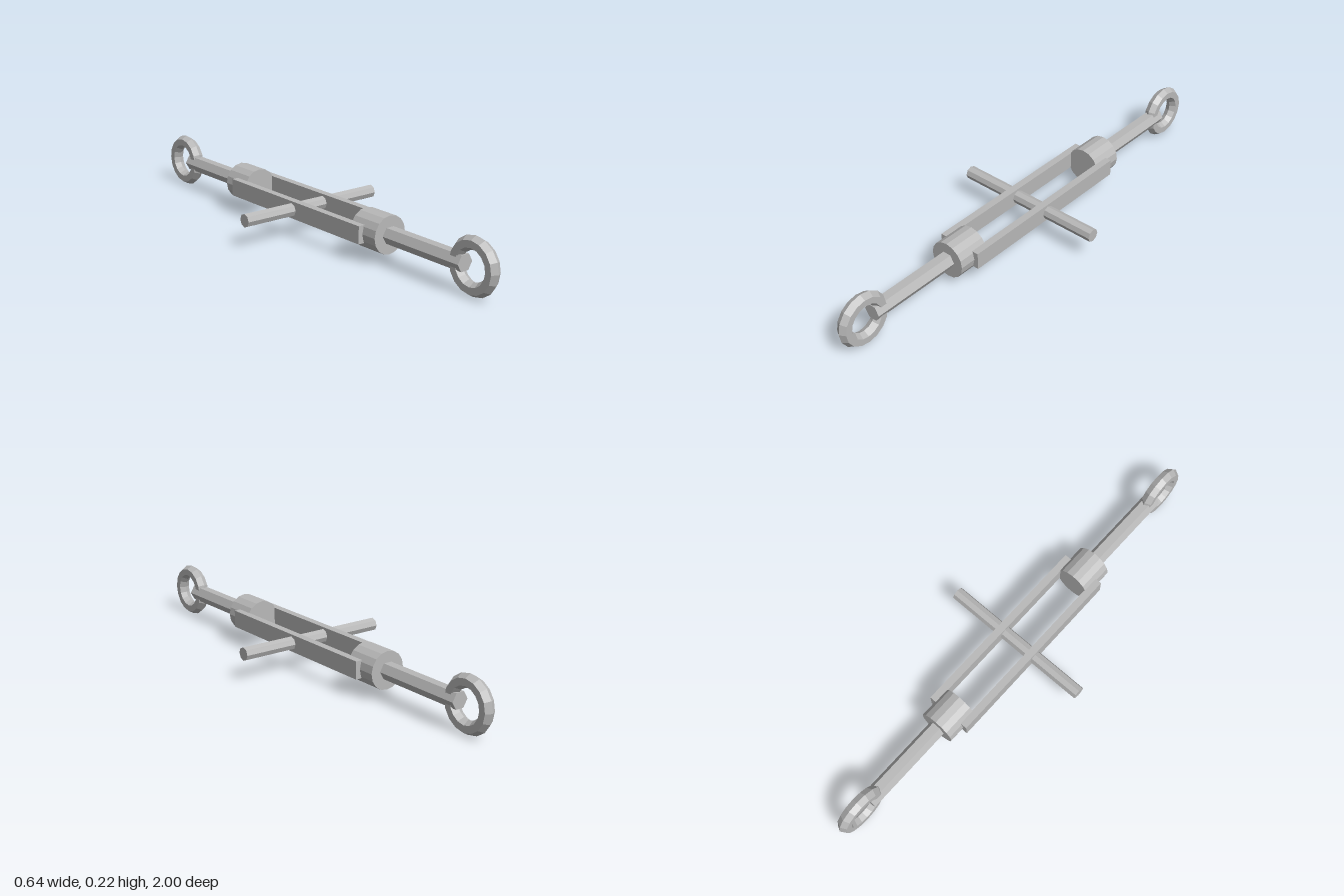
import * as THREE from 'three';

const AXIS_Y = 0.111;

export function createModel() {
  const model = new THREE.Group();
  model.name = 'turnbuckle';
  const steel = new THREE.MeshStandardMaterial({ color: 0xb8b8b8, flatShading: true });
  steel.name = 'grey steel';

  const add = (name, geometry, x, z) => {
    const mesh = new THREE.Mesh(geometry, steel);
    mesh.name = name;
    mesh.position.set(x, AXIS_Y, z);
    model.add(mesh);
  };

  // Cylinder along z with a corner pointing sideways
  const alongZ = (radius, length, sides) =>
    new THREE.CylinderGeometry(radius, radius, length, sides).rotateY(Math.PI / 2).rotateX(Math.PI / 2);

  for (const [side, s] of [['front', 1], ['back', -1]]) {
    // Threaded collar, hexagonal shank and eye at each end
    add(side + 'Collar', alongZ(0.075, 0.133, 16), 0, s * 0.4);
    add(side + 'Shank', alongZ(0.035, 0.445, 6), 0, s * 0.6225);
    add(side + 'Eye', new THREE.TorusGeometry(0.084, 0.027, 6, 16).rotateY(Math.PI / 2), 0, s * 0.889);
  }

  // Two flat bars joining the collars
  for (const [side, s] of [['left', 1], ['right', -1]]) {
    add(side + 'Bar', new THREE.BoxGeometry(0.03, 0.07, 0.8), s * 0.078, 0);
  }

  // Cross handle through both bars
  add('handle', new THREE.CylinderGeometry(0.027, 0.027, 0.636, 8).rotateZ(Math.PI / 2), 0, 0);

  return model;
}
